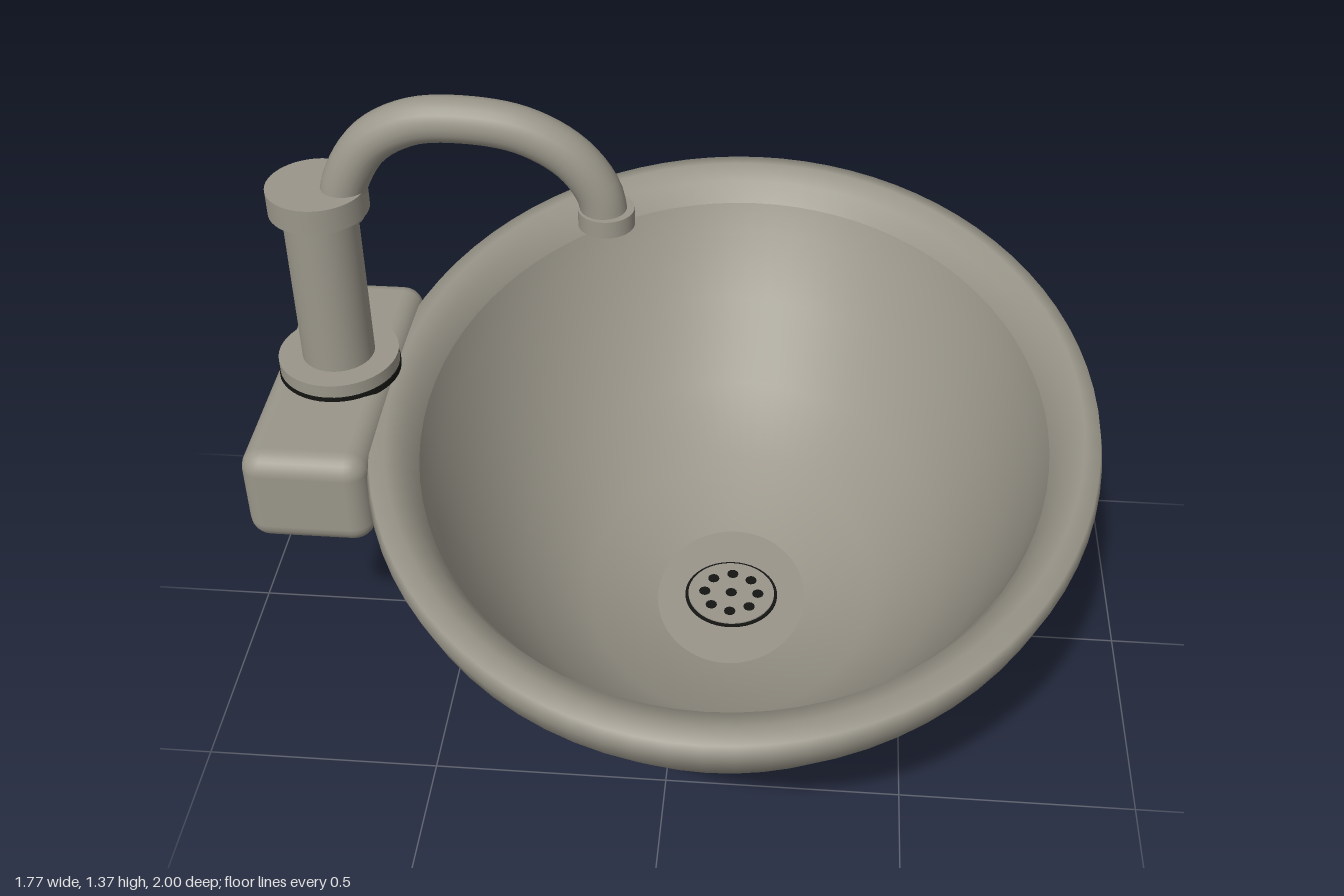
import * as THREE from 'three';
import { RoundedBoxGeometry } from 'three/addons/geometries/RoundedBoxGeometry.js';

const stone = new THREE.MeshStandardMaterial({ color: 0x9a968a });
stone.name = 'warm grey';
const dark = new THREE.MeshStandardMaterial({ color: 0x141412 });
dark.name = 'black';

export function createModel() {
  const model = new THREE.Group();
  model.name = 'washbasin';
  const bowlX = 0.11, tapX = -0.745;

  function add(parent, name, geometry, material, x = 0, y = 0, z = 0) {
    const mesh = new THREE.Mesh(geometry, material);
    mesh.name = name;
    mesh.position.set(x, y, z);
    parent.add(mesh);
    return mesh;
  }
  // Upright cylinder given by its bottom and top heights
  function disc(parent, name, radius, y0, y1, x, material = stone, z = 0, sides = 48) {
    const g = new THREE.CylinderGeometry(radius, radius, y1 - y0, sides);
    return add(parent, name, g, material, x, (y0 + y1) / 2, z);
  }

  // Oval bowl: each section is a lathe squeezed along x, split where edges are sharp
  const bowl = new THREE.Group();
  bowl.name = 'bowl';
  bowl.position.x = bowlX;
  model.add(bowl);
  const sections = {
    underside: [[0, 0.03], [0.265, 0.03]],
    outerWall: [[0.265, 0.03], [0.365, 0.07], [0.595, 0.21], [0.85, 0.44], [0.975, 0.59],
      [1, 0.645], [0.992, 0.675], [0.95, 0.68], [0.9, 0.66], [0.865, 0.615]],
    innerWall: [[0.865, 0.615], [0.83, 0.54], [0.74, 0.4], [0.6, 0.25], [0.42, 0.135], [0.22, 0.08]],
    floor: [[0.22, 0.08], [0, 0.08]],
  };
  for (const [name, profile] of Object.entries(sections)) {
    const g = new THREE.LatheGeometry(profile.map(([r, y]) => new THREE.Vector2(r, y)), 80);
    g.scale(0.775, 1, 1);
    add(bowl, name, g, stone);
  }

  // Waste outlet and foot
  disc(model, 'foot', 0.15, 0, 0.03, bowlX);
  disc(model, 'drainGap', 0.107, 0.078, 0.084, bowlX, dark);
  disc(model, 'drainCover', 0.1, 0.078, 0.087, bowlX);
  for (let i = 0; i < 9; i++) {
    const a = (i * Math.PI) / 4, r = i < 8 ? 0.062 : 0;
    disc(model, 'drainHole', 0.013, 0.084, 0.089, bowlX + r * Math.cos(a), dark, r * Math.sin(a), 12);
  }

  // Mounting block behind the rim
  add(model, 'tapBlock', new RoundedBoxGeometry(0.265, 0.22, 0.67, 3, 0.045), stone, -0.757, 0.59, 0);

  // Tap column
  const tap = new THREE.Group();
  tap.name = 'tap';
  model.add(tap);
  disc(tap, 'seal', 0.13, 0.695, 0.71, tapX, dark);
  disc(tap, 'baseFlange', 0.128, 0.71, 0.74, tapX);
  disc(tap, 'column', 0.077, 0.74, 1.1, tapX);
  disc(tap, 'columnCap', 0.103, 1.1, 1.155, tapX);

  // Curved spout and its nozzle
  const path = new THREE.CatmullRomCurve3([
    [-0.7, 1.09], [-0.682, 1.17], [-0.625, 1.26], [-0.54, 1.308], [-0.445, 1.318],
    [-0.32, 1.3], [-0.225, 1.245], [-0.172, 1.17], [-0.158, 1.1],
  ].map(([x, y]) => new THREE.Vector3(x, y, 0)));
  add(tap, 'spout', new THREE.TubeGeometry(path, 40, 0.047, 20), stone);
  disc(tap, 'nozzle', 0.057, 1.093, 1.13, -0.157);

  return model;
}
